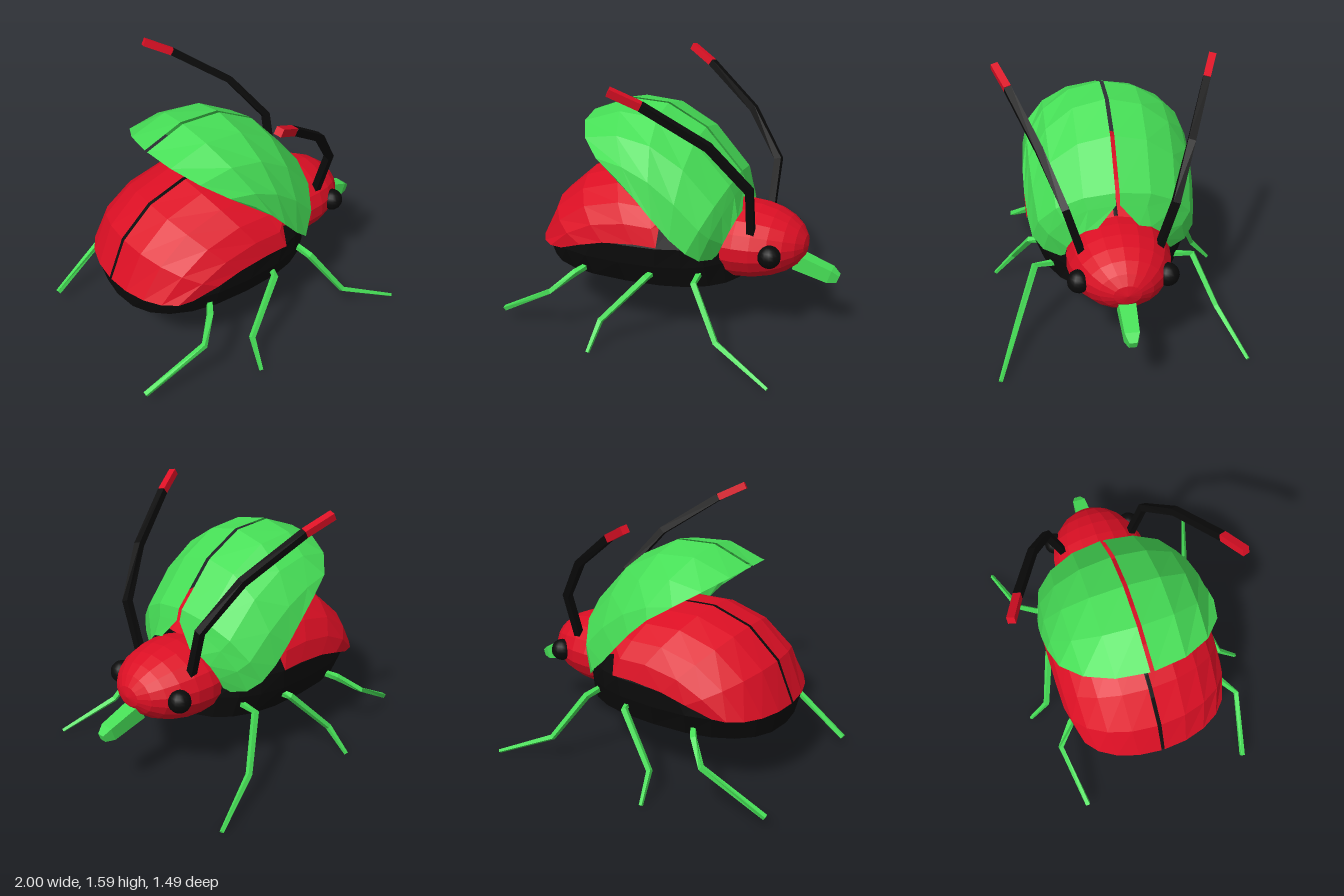
import * as THREE from 'three';

const V = (x, y, z) => new THREE.Vector3(x, y, z);

// Flat-shaded surface through a list of point rings
function loft(rings, closed) {
  const p = [];
  const tri = (...pts) => pts.forEach(q => p.push(q.x, q.y, q.z));
  const n = rings[0].length;
  for (let i = 0; i < rings.length - 1; i++) {
    for (let j = 0; j < (closed ? n : n - 1); j++) {
      const k = (j + 1) % n;
      const a = rings[i][j], b = rings[i + 1][j], c = rings[i + 1][k], d = rings[i][k];
      tri(a, b, d);
      tri(b, c, d);
    }
  }
  if (closed) {
    const first = rings[0], last = rings[rings.length - 1];
    for (let j = 1; j < n - 1; j++) {
      tri(first[0], first[j], first[j + 1]);
      tri(last[0], last[j + 1], last[j]);
    }
  }
  const g = new THREE.BufferGeometry();
  g.setAttribute('position', new THREE.Float32BufferAttribute(p, 3));
  g.computeVertexNormals();
  return g;
}

// Square rod along a path; half[i] is the half thickness at each point
function rod(path, half, ref) {
  const rings = path.map((q, i) => {
    const t = path[Math.min(i + 1, path.length - 1)].clone()
      .sub(path[Math.max(i - 1, 0)]).normalize();
    const u = ref.clone().cross(t).normalize();
    const v = u.clone().cross(t);
    return [0, 1, 2, 3].map(k => {
      const a = Math.PI / 4 + k * Math.PI / 2, r = half[i] * Math.SQRT2;
      return q.clone().addScaledVector(u, r * Math.cos(a)).addScaledVector(v, r * Math.sin(a));
    });
  });
  return loft(rings, true);
}

// Curved half shell: each row runs as a quarter arc from the crown to the rim
// row = [crownX, crownY, crownZ, rimX, rimY, rimZ]
function shell(rows, side, steps) {
  const rings = rows.map(([cx, cy, cz, rx, ry, rz]) => {
    const ring = [];
    for (let j = 0; j <= steps; j++) {
      const a = (j / steps) * Math.PI / 2, k = 1 - Math.cos(a);
      ring.push(V(cx + (rx - cx) * k, cy + (ry - cy) * k, side * (cz + (rz - cz) * Math.sin(a))));
    }
    return ring;
  });
  return loft(side > 0 ? rings.reverse() : rings, false);
}

// Horizontal rounded-oval slice of the body
function slice([y, x0, x1, w]) {
  const ring = [], c = (x0 + x1) / 2, a = (x1 - x0) / 2;
  const pow = v => Math.sign(v) * Math.abs(v) ** 0.8;
  for (let j = 0; j < 24; j++) {
    const t = j / 24 * Math.PI * 2;
    ring.push(V(c + a * pow(Math.cos(t)), y, w * pow(Math.sin(t))));
  }
  return ring;
}

export function createModel() {
  const model = new THREE.Group();
  const red = new THREE.MeshStandardMaterial({ color: 0xdc0f24, side: THREE.DoubleSide });
  const green = new THREE.MeshStandardMaterial({ color: 0x46de56, side: THREE.DoubleSide });
  const black = new THREE.MeshStandardMaterial({ color: 0x0b0b0b });
  red.name = 'red';
  green.name = 'green';
  black.name = 'black';
  const add = (name, geometry, material) => {
    const m = new THREE.Mesh(geometry, material);
    m.name = name;
    model.add(m);
    return m;
  };

  // Black underbody with a flat belly
  add('underbody', loft([
    [0.36, -0.83, 0.45, 0.44], [0.5, -0.86, 0.44, 0.495], [0.62, -0.76, 0.41, 0.505],
    [0.79, -0.6, 0.32, 0.44], [0.88, -0.48, 0.16, 0.27], [0.91, -0.35, 0.05, 0.12],
  ].map(slice), true), black);

  // Head
  const headGeo = new THREE.SphereGeometry(1, 18, 12).rotateZ(-Math.PI / 2)
    .scale(0.39, 0.23, 0.31).toNonIndexed();
  headGeo.computeVertexNormals();
  add('head', headGeo, red).position.set(0.42, 0.567, 0);

  // Beak
  add('beak', rod([V(0.74, 0.465, 0), V(0.95, 0.4, 0), V(1, 0.383, 0)],
    [0.05, 0.042, 0.022], V(0, 0, 1)), green).scale.set(1, 1, 1);

  const abdomenRows = [
    [-0.865, 0.5, 0.01, -0.6, 0.52, 0.47],
    [-0.76, 0.74, 0.012, -0.45, 0.58, 0.51],
    [-0.57, 0.91, 0.012, -0.3, 0.62, 0.515],
    [-0.33, 0.99, 0.012, -0.1, 0.64, 0.515],
    [-0.08, 0.98, 0.012, 0.04, 0.64, 0.515],
    [0.12, 0.92, 0.012, 0.045, 0.76, 0.47],
    [0.34, 0.78, 0.012, 0.1, 0.74, 0.46],
  ];
  const wingRows = [
    [-0.57, 1.27, 0.012, -0.2, 1.03, 0.51],
    [-0.33, 1.365, 0.012, -0.08, 0.92, 0.52],
    [-0.08, 1.355, 0.012, 0.02, 0.81, 0.52],
    [0.16, 1.23, 0.012, 0.12, 0.7, 0.51],
    [0.385, 0.98, 0.012, 0.21, 0.62, 0.49],
    [0.405, 0.91, 0.012, 0.27, 0.56, 0.43],
    [0.43, 0.78, 0.12, 0.33, 0.53, 0.31],
  ];

  for (const s of [1, -1]) {
    const side = s > 0 ? 'left' : 'right';
    const P = pts => pts.map(([x, y, z]) => V(x, y, s * z));

    // Abdomen half and raised wing case
    add(side + 'Abdomen', shell(abdomenRows, s, 5), red);
    add(side + 'WingCase', shell(wingRows, s, 4), green);

    // Eye
    add(side + 'Eye', new THREE.SphereGeometry(0.068, 14, 10), black)
      .position.set(0.637, 0.572, s * 0.255);

    // Antenna with red tip
    add(side + 'Antenna', rod(P([[0.515, 0.65, 0.215], [0.525, 0.98, 0.31],
      [0.32, 1.25, 0.43], [-0.01, 1.485, 0.58]]), [0.022, 0.022, 0.022, 0.022], V(0, 0, 1)), black);
    add(side + 'AntennaTip', rod(P([[-0.01, 1.485, 0.58], [-0.165, 1.567, 0.647]]),
      [0.022, 0.022], V(0, 0, 1)), red);

    // Legs
    const legs = {
      FrontLeg: [[0.25, 0.445, 0.36], [0.26, 0.44, 0.485], [0.44, 0.16, 0.61], [0.78, 0.012, 0.73]],
      MiddleLeg: [[-0.01, 0.445, 0.43], [-0.03, 0.435, 0.5], [-0.28, 0.16, 0.61], [-0.308, 0.008, 0.738]],
      RearLeg: [[-0.46, 0.4, 0.43], [-0.5, 0.38, 0.49], [-0.615, 0.285, 0.597], [-0.985, 0.067, 0.535]],
    };
    for (const [name, pts] of Object.entries(legs)) {
      const foot = name === 'RearLeg' ? 0.013 : 0.009;
      add(side + name, rod(P(pts), [0.015, 0.016, 0.014, foot], V(1, 0, 0)), green);
    }
  }
  return model;
}
